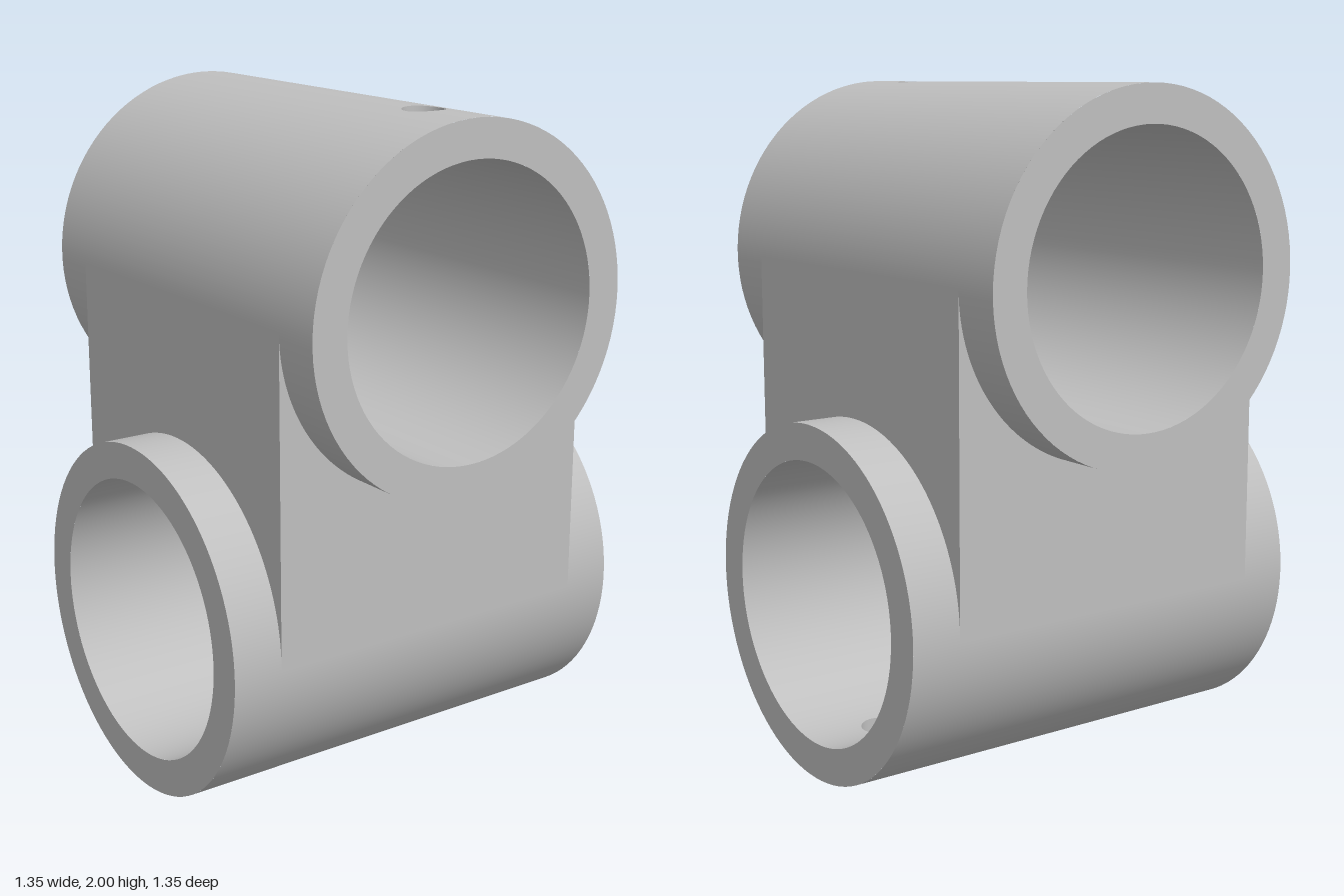
import * as THREE from 'three';
import { ParametricGeometry } from 'three/addons/geometries/ParametricGeometry.js';

const R = 0.526;          // outer radius of each tube
const BORE = 0.418;       // inner radius
const L = 0.677;          // half length
const SPAN = 2 - 2 * R;   // distance between the two tube axes
const HOLE = 0.06;        // set-screw hole radius
const HOLE_X = 0.447;     // hole position along the tube
const W = 0.1;            // half width of the strip that holds the hole

export function createModel() {
  const metal = new THREE.MeshStandardMaterial({ color: 0xbfbfbf });
  metal.name = 'grey metal';

  const addMesh = (parent, name, geometry) => {
    const mesh = new THREE.Mesh(geometry, metal);
    mesh.name = name;
    parent.add(mesh);
    return mesh;
  };

  // Point on a cylinder of radius r around the x axis, above (x, z)
  const onTop = (x, z, r, target) => target.set(x, Math.sqrt(r * r - z * z), z);

  // Cylinder wall, open along the strip around the hole
  const wall = (r, dir) => new ParametricGeometry((u, v, p) => {
    const start = Math.asin(W / r);
    const a = start + u * (2 * Math.PI - 2 * start);
    p.set(dir * L * (2 * v - 1), r * Math.cos(a), r * Math.sin(a));
  }, 96, 1);

  // Strip along the top, running from the round hole out to its rectangular edge
  const holeStrip = (r, dir) => new ParametricGeometry((u, v, p) => {
    const a = dir * u * 2 * Math.PI;
    const c = Math.cos(a), s = Math.sin(a);
    const m = Math.max(Math.abs(c), Math.abs(s));
    const edgeX = HOLE_X + (c / m) * (c > 0 ? L - HOLE_X : L + HOLE_X);
    const x = THREE.MathUtils.lerp(HOLE_X + HOLE * c, edgeX, v);
    const z = THREE.MathUtils.lerp(HOLE * s, W * s / m, v);
    onTop(x, z, r, p);
  }, 48, 6);

  // Inside of the drilled hole
  const holeSide = () => new ParametricGeometry((u, v, p) => {
    const a = -u * 2 * Math.PI;
    onTop(HOLE_X + HOLE * Math.cos(a), HOLE * Math.sin(a), THREE.MathUtils.lerp(R, BORE, v), p);
  }, 48, 1);

  // Flat side of the joining block, cut round the tube
  const cheek = new THREE.Shape();
  cheek.moveTo(-R, 0);
  cheek.lineTo(-R, -SPAN);
  cheek.lineTo(R, -SPAN);
  cheek.lineTo(R, 0);
  cheek.absarc(0, 0, R, 0, -Math.PI, true);

  // One tube along x with its two block sides below
  const makeHalf = (name) => {
    const half = new THREE.Group();
    half.name = name;
    addMesh(half, 'outerWall', wall(R, 1));
    addMesh(half, 'outerHoleStrip', holeStrip(R, 1));
    addMesh(half, 'bore', wall(BORE, -1));
    addMesh(half, 'boreHoleStrip', holeStrip(BORE, -1));
    addMesh(half, 'screwHole', holeSide());
    for (const side of [-1, 1]) {
      const rim = addMesh(half, 'endRim', new THREE.RingGeometry(BORE, R, 96));
      rim.position.x = side * L;
      rim.rotation.y = side * Math.PI / 2;
      const face = addMesh(half, 'blockSide', new THREE.ShapeGeometry(cheek, 48));
      face.position.x = side * R;
      face.rotation.y = side * Math.PI / 2;
    }
    return half;
  };

  const model = new THREE.Group();
  model.name = 'crossedTubeClamp';

  const upper = makeHalf('upperTube');
  upper.position.y = R + SPAN;

  // The lower half is the same part, turned over and across
  const lower = makeHalf('lowerTube');
  lower.position.y = R;
  lower.rotation.set(Math.PI, -Math.PI / 2, 0);

  model.add(upper, lower);
  return model;
}
